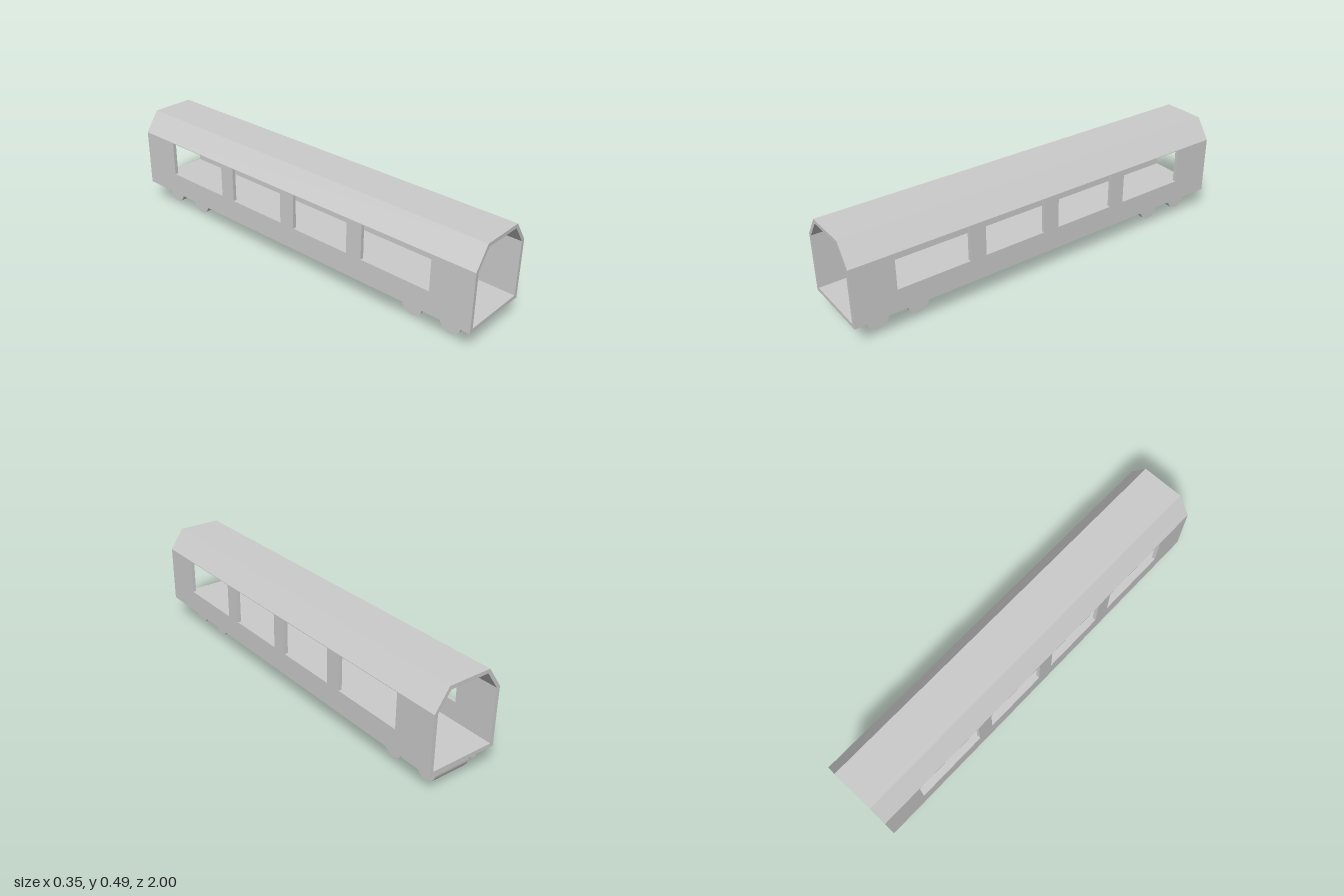
import * as THREE from 'three';

const HALF_W = 0.175, WALL = 0.0175, SHOULDER = 0.39, FLOOR_Y = 0.11;

export function createModel() {
  const model = new THREE.Group();
  model.name = 'railCarriage';
  const grey = new THREE.MeshStandardMaterial({ color: 0xcccccc });

  const add = (parent, name, geometry, x = 0, y = 0, z = 0) => {
    const mesh = new THREE.Mesh(geometry, grey);
    mesh.name = name;
    mesh.position.set(x, y, z);
    parent.add(mesh);
    return mesh;
  };
  const extrude = (points, depth) => new THREE.ExtrudeGeometry(
    new THREE.Shape(points.map(([x, y]) => new THREE.Vector2(x, y))),
    { depth, bevelEnabled: false });

  // Floor slab
  add(model, 'floor', new THREE.BoxGeometry(2 * HALF_W, 0.018, 2), 0, FLOOR_Y + 0.009, 0);

  // Roof: a faceted shell with sloping shoulders, open at both ends
  const outer = [[HALF_W, SHOULDER], [HALF_W, 0.393], [0.106, 0.493]];
  const inner = [[HALF_W - WALL, SHOULDER], [0.098, 0.475]];
  const mirrored = (pts) => pts.map(([x, y]) => [-x, y]).reverse();
  const roof = [...outer, ...mirrored(outer), ...mirrored(inner).reverse(), ...[...inner].reverse()];
  add(model, 'roof', extrude(roof, 2), 0, 0, -1);

  // Side walls: the window openings are notches reaching up to the roof
  const windows = [[-0.795, -0.436], [-0.356, -0.041], [0.041, 0.356], [0.438, 0.795]];
  const sill = 0.219;
  const bottom = FLOOR_Y + 0.018;
  const wall = [[-1, bottom], [-1, SHOULDER]];
  for (const [a, b] of windows) wall.push([a, SHOULDER], [a, sill], [b, sill], [b, SHOULDER]);
  wall.push([1, SHOULDER], [1, bottom]);
  const wallGeometry = extrude(wall, WALL).rotateY(-Math.PI / 2);
  add(model, 'leftWall', wallGeometry, HALF_W);
  add(model, 'rightWall', wallGeometry, -HALF_W + WALL);

  // Bogies: two side rails and two wide rollers each
  const bogies = [
    { name: 'frontBogie', rail: [0.396, 0.945], wheels: [0.857, 0.661] },
    { name: 'rearBogie', rail: [-0.969, -0.42], wheels: [-0.704, -0.9] },
  ];
  const roller = new THREE.CylinderGeometry(0.0525, 0.0525, 0.187, 32).rotateZ(Math.PI / 2);
  for (const { name, rail: [z0, z1], wheels } of bogies) {
    const bogie = new THREE.Group();
    bogie.name = name;
    model.add(bogie);
    const railGeometry = new THREE.BoxGeometry(0.021, 0.045, z1 - z0);
    add(bogie, 'leftRail', railGeometry, 0.102, 0.0875, (z0 + z1) / 2);
    add(bogie, 'rightRail', railGeometry, -0.105, 0.0875, (z0 + z1) / 2);
    for (const z of wheels) add(bogie, 'wheelRoller', roller, 0, 0.0525, z);
  }
  return model;
}
